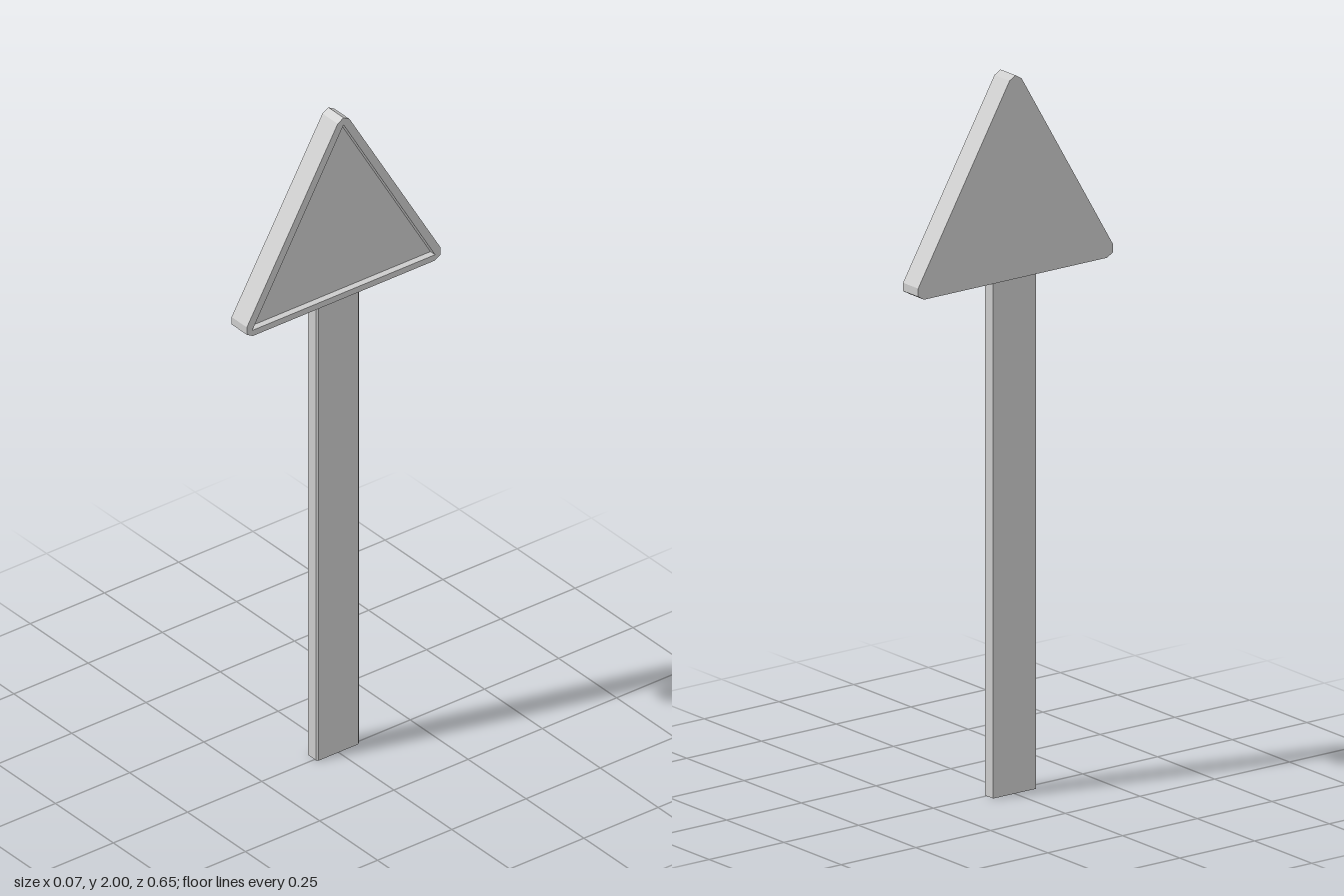
import * as THREE from 'three';

const material = new THREE.MeshStandardMaterial({ color: 0xcccccc, flatShading: true });

// Triangle outline with each corner rounded in two facets
function roundedTriangle() {
  const r = 0.023;
  const corners = [[0.306, 1.457, -90], [0, 1.977, 30], [-0.306, 1.457, 150]];
  const points = [];
  for (const [x, y, start] of corners) {
    for (let i = 0; i <= 2; i++) {
      const a = THREE.MathUtils.degToRad(start + i * 60);
      points.push(new THREE.Vector2(x + r * Math.cos(a), y + r * Math.sin(a)));
    }
  }
  return new THREE.Shape(points);
}

// Extrudes a shape drawn in the z-y plane from x0 to x1
function slab(name, shape, x0, x1) {
  const geometry = new THREE.ExtrudeGeometry(shape, { depth: x1 - x0, bevelEnabled: false });
  geometry.rotateY(Math.PI / 2).translate(x0, 0, 0);
  const mesh = new THREE.Mesh(geometry, material);
  mesh.name = name;
  return mesh;
}

export function createModel() {
  const group = new THREE.Group();
  group.name = 'triangularSign';

  // Sign head: solid back panel and a raised rim on the +x face
  const panelX = 0.013, halfDepth = 0.033;
  group.add(slab('signPanel', roundedTriangle(), -halfDepth, panelX));
  const rim = roundedTriangle();
  rim.holes.push(new THREE.Path([[0, 1.978], [-0.308, 1.452], [0.308, 1.452]]
    .map(([x, y]) => new THREE.Vector2(x, y))));
  group.add(slab('signRim', rim, panelX, halfDepth));

  // Flat post with slightly chamfered edges on the +x face
  const w = 0.072, back = -0.029, front = 0.011, c = 0.005;
  const section = new THREE.Shape([
    [back, -w], [front - c, -w], [front, -w + c], [front, w - c], [front - c, w], [back, w],
  ].map(([x, z]) => new THREE.Vector2(x, z)));
  const postGeometry = new THREE.ExtrudeGeometry(section, { depth: 1.44, bevelEnabled: false });
  postGeometry.rotateX(-Math.PI / 2);
  const post = new THREE.Mesh(postGeometry, material);
  post.name = 'post';
  group.add(post);

  return group;
}
